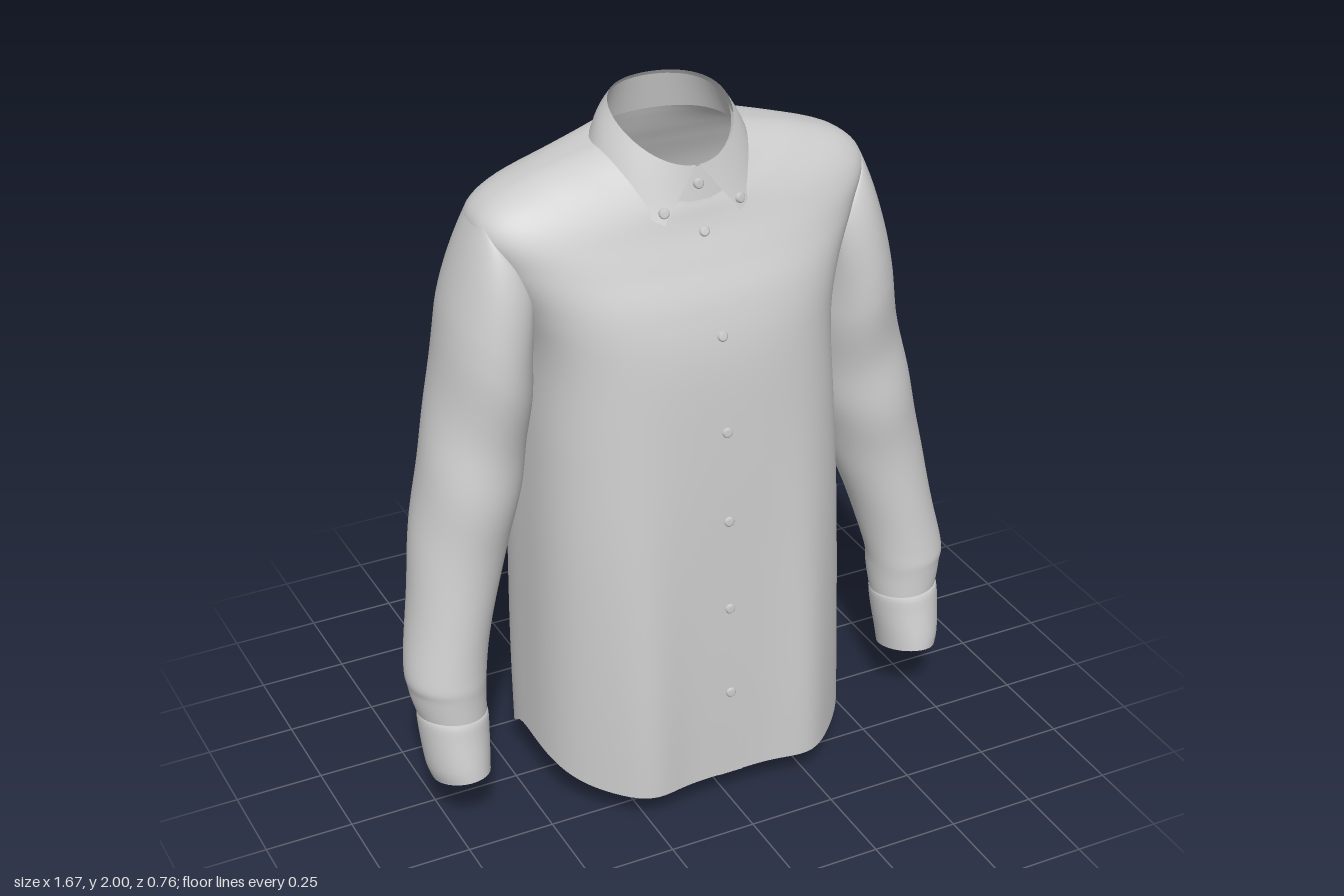
import * as THREE from 'three';
import { ParametricGeometry } from 'three/addons/geometries/ParametricGeometry.js';

const fabric = new THREE.MeshStandardMaterial({ color: 0xcccccc, side: THREE.DoubleSide });
const { smoothstep, lerp } = THREE.MathUtils;

// Torso sections, hem to neck: side y, front y, back y, half width, front z, back z, centre z, front and back squareness
const TORSO = [
  [0.165, 0.09, 0.00, 0.465, 0.362, -0.285, 0, 2.8, 2.9],
  [0.40, 0.38, 0.36, 0.46, 0.355, -0.335, 0, 2.8, 2.9],
  [0.80, 0.80, 0.80, 0.45, 0.338, -0.36, 0, 2.8, 2.9],
  [1.10, 1.10, 1.10, 0.438, 0.322, -0.362, 0, 2.7, 3],
  [1.35, 1.35, 1.36, 0.43, 0.301, -0.358, -0.01, 2.7, 3.1],
  [1.50, 1.50, 1.53, 0.46, 0.265, -0.335, -0.02, 2.8, 3.1],
  [1.64, 1.61, 1.66, 0.525, 0.215, -0.302, -0.03, 2.7, 2.9],
  [1.73, 1.68, 1.75, 0.562, 0.182, -0.265, -0.03, 2.5, 2.6],
  [1.795, 1.715, 1.80, 0.515, 0.168, -0.242, -0.03, 2.3, 2.4],
  [1.845, 1.745, 1.85, 0.39, 0.158, -0.222, -0.03, 2.1, 2.1],
  [1.873, 1.765, 1.89, 0.28, 0.15, -0.207, -0.03, 2, 2],
  [1.89, 1.78, 1.915, 0.205, 0.145, -0.192, -0.03, 2, 2],
];
// Sleeve sections, cuff to shoulder: outer x, y, inner x, y, front z, back z, front-to-back slant
const SLEEVE = [
  [0.808, 0.35, 0.622, 0.34, 0.18, -0.02, 0.01],
  [0.828, 0.43, 0.615, 0.42, 0.178, -0.045, 0.01],
  [0.832, 0.51, 0.605, 0.51, 0.172, -0.06, 0],
  [0.79, 0.75, 0.545, 0.72, 0.143, -0.13, 0],
  [0.75, 0.98, 0.485, 0.90, 0.143, -0.175, 0],
  [0.70, 1.20, 0.445, 1.07, 0.135, -0.20, 0],
  [0.655, 1.44, 0.425, 1.24, 0.15, -0.225, 0],
  [0.615, 1.62, 0.42, 1.36, 0.15, -0.225, 0],
  [0.555, 1.755, 0.43, 1.43, 0.14, -0.205, 0],
];
const CUFF = [
  [0.79, 0.165, 0.635, 0.175, 0.222, 0.015, 0.028],
  [0.804, 0.21, 0.63, 0.22, 0.216, 0.002, 0.022],
  [0.812, 0.30, 0.622, 0.29, 0.2, -0.016, 0.012],
  [0.813, 0.358, 0.619, 0.345, 0.188, -0.024, 0.01],
  [0.80, 0.361, 0.63, 0.348, 0.175, -0.012, 0.01],
];

// Smooth blend of the rows of a section table
function section(table, v) {
  const last = table.length - 1, f = v * last;
  const i = Math.min(Math.floor(f), last - 1), t = f - i;
  const [a, b, c, d] = [i - 1, i, i + 1, i + 2].map(k => table[Math.max(0, Math.min(last, k))]);
  return b.map((q, k) => q + 0.5 * t * (c[k] - a[k]
    + t * (2 * a[k] - 5 * q + 4 * c[k] - d[k] + t * (3 * (q - c[k]) + d[k] - a[k]))));
}

// Torso surface: rounded section with soft drape folds
function torsoPoint(u, v, p) {
  const [ys, yf, yb, w, zf, zb, zc, nf, nb] = section(TORSO, v);
  const a = -2 * Math.PI * u, c = Math.cos(a), s = Math.sin(a);
  const front = s > 0, n = front ? nf : nb;
  const r = Math.pow(Math.abs(c) ** n + Math.abs(s) ** n, -1 / n);
  const x = w * r * c, k = r * s, k2 = k * k;
  // The hem curve is flatter in the middle than the neck curve
  const dip = lerp(k2 * (2 - k2), k2, smoothstep(v, 0, 0.4));
  const y = ys + ((front ? yf : yb) - ys) * dip;
  let z = zc + Math.abs(k) * ((front ? zf : zb) - zc);
  if (front) {
    z += 0.042 * Math.exp(-(((Math.abs(x) - 0.26) / 0.1) ** 2)) * k * (1 - smoothstep(y, 0.1, 1.4));
  } else {
    const fade = (1 - smoothstep(y, 1.3, 1.65)) * smoothstep(y, -0.5, 0.5);
    z += k * fade * (0.013 * Math.cos(2 * Math.PI * x / 0.27) + 0.014 * Math.exp(-((x / 0.035) ** 2)) - 0.006);
  }
  return p.set(x, y, z);
}

// Point on a sleeve or cuff section of the left arm, with optional creases
function armPoint(table, a, v, crease, p) {
  const [xo, yo, xi, yi, zf, zb, slant] = section(table, v);
  const c = Math.cos(a), s = Math.sin(a);
  const g = 1 + crease * Math.sin(v * 34 + 2 * s) * Math.sin(Math.PI * v);
  return p.set((xo + xi) / 2 + g * c * (xo - xi) / 2,
    (yo + yi) / 2 + c * (yo - yi) / 2 + slant * s,
    (zf + zb) / 2 + g * s * (zf - zb) / 2);
}

// Sleeve surface that runs into an armhole loop lying on the torso
const seam = new THREE.Vector3();
const sleeveSurface = side => (u, v, p) => {
  const a = -2 * Math.PI * u * side, s = Math.sin(a);
  armPoint(SLEEVE, a, v, 0.018, p);
  torsoPoint(-(s > 0 ? 0.085 : 0.1) * s, (6 + 1.5 * Math.cos(a)) / 11, seam);
  p.lerp(seam, smoothstep(v, 0.78, 1));
  p.x *= side;
};
const cuffSurface = side => (u, v, p) => {
  armPoint(CUFF, -2 * Math.PI * u * side, v, 0, p);
  p.x *= side;
};

// Inner collar band
function standPoint(u, v, p) {
  const a = 2 * Math.PI * u, c = Math.cos(a), s = Math.sin(a);
  const low = 1.865 - 0.06 * c - 0.04 * c * c, high = 1.955 - 0.068 * c - 0.035 * c * c;
  p.set(s * lerp(0.205, 0.162, v), lerp(low, high, v), -0.02 + c * lerp(0.174, 0.155, v));
}

// Folded collar: top edge meets at the throat, lower edge runs out to two points
function collarPoint(u, v, p) {
  const t = u * 2 - 1, h = Math.abs(t), sg = t < 0 ? -1 : 1;
  // t = 0 is the centre back, t = +-1 the collar points
  const top = Math.PI * (1 - h) + 0.03 * h, low = lerp(Math.PI, 0.52, h);
  const ct = Math.cos(top), cl = Math.cos(low), bulge = 0.008 * Math.sin(Math.PI * v) * (1 - h * h);
  p.set(sg * lerp((0.22 + bulge) * Math.sin(low), (0.165 + bulge) * Math.sin(top), v),
    lerp(1.855 - 0.11 * cl - 0.05 * cl * cl, 1.965 - 0.07 * ct - 0.035 * ct * ct, v),
    lerp(0.2 * cl, -0.012 + 0.155 * ct, v) + bulge * ct);
}

export function createModel() {
  const shirt = new THREE.Group();
  shirt.name = 'shirt';

  const add = (name, geometry) => {
    const mesh = new THREE.Mesh(geometry, fabric);
    mesh.name = name;
    shirt.add(mesh);
    return mesh;
  };
  const surface = (name, fn, nu, nv) => add(name, new ParametricGeometry(fn, nu, nv));

  surface('torso', torsoPoint, 128, 72);
  surface('collarStand', standPoint, 48, 4);
  surface('collar', collarPoint, 64, 8);

  // Button placket down the front
  surface('placket', (u, v, p) => {
    torsoPoint(0.75 + (u - 0.5) * 0.034, v * 0.985, p);
    p.x = (u - 0.5) * 0.076;
    p.z += 0.002;
  }, 4, 60);

  // Buttons: domed discs facing a given direction
  const disc = new THREE.LatheGeometry([[0.014, -0.006], [0.014, 0.002], [0.01, 0.005], [0, 0.004]]
    .map(([x, y]) => new THREE.Vector2(x, y)), 14);
  const up = new THREE.Vector3(0, 1, 0);
  const button = (name, pos, dir) => {
    const mesh = add(name, disc);
    mesh.position.copy(pos);
    mesh.quaternion.setFromUnitVectors(up, dir.normalize());
  };

  // Front buttons sit on the placket
  const q = new THREE.Vector3(), q2 = new THREE.Vector3();
  for (const y of [1.69, 1.435, 1.165, 0.9, 0.63, 0.36]) {
    let lo = 0, hi = 1;
    for (let i = 0; i < 30; i++) {
      const mid = (lo + hi) / 2;
      if (torsoPoint(0.75, mid, q).y < y) lo = mid; else hi = mid;
    }
    torsoPoint(0.75, lo + 0.01, q2).sub(q);
    button('frontButton', q.clone().add(new THREE.Vector3(0, 0, 0.005)), new THREE.Vector3(0, -q2.z, q2.y));
  }
  button('throatButton', new THREE.Vector3(0, 1.81, 0.15), new THREE.Vector3(0, 0.1, 1));

  // Sleeves, cuffs and their buttons, mirrored
  for (const side of [1, -1]) {
    const label = side > 0 ? 'left' : 'right';
    surface(label + 'Sleeve', sleeveSurface(side), 48, 60);
    surface(label + 'Cuff', cuffSurface(side), 40, 12);
    button(label + 'CollarButton', new THREE.Vector3(side * 0.11, 1.757, 0.172), new THREE.Vector3(side * 0.3, 0.2, 1));
    for (const [table, v] of [[CUFF, 0.27], [SLEEVE, 0.09]]) {
      const pos = armPoint(table, -1.2, v, 0, new THREE.Vector3());
      const dir = new THREE.Vector3(side * 0.4, 0, -1).normalize();
      pos.x *= side;
      button(label + 'CuffButton', pos.addScaledVector(dir, 0.003), dir);
    }
  }
  return shirt;
}
